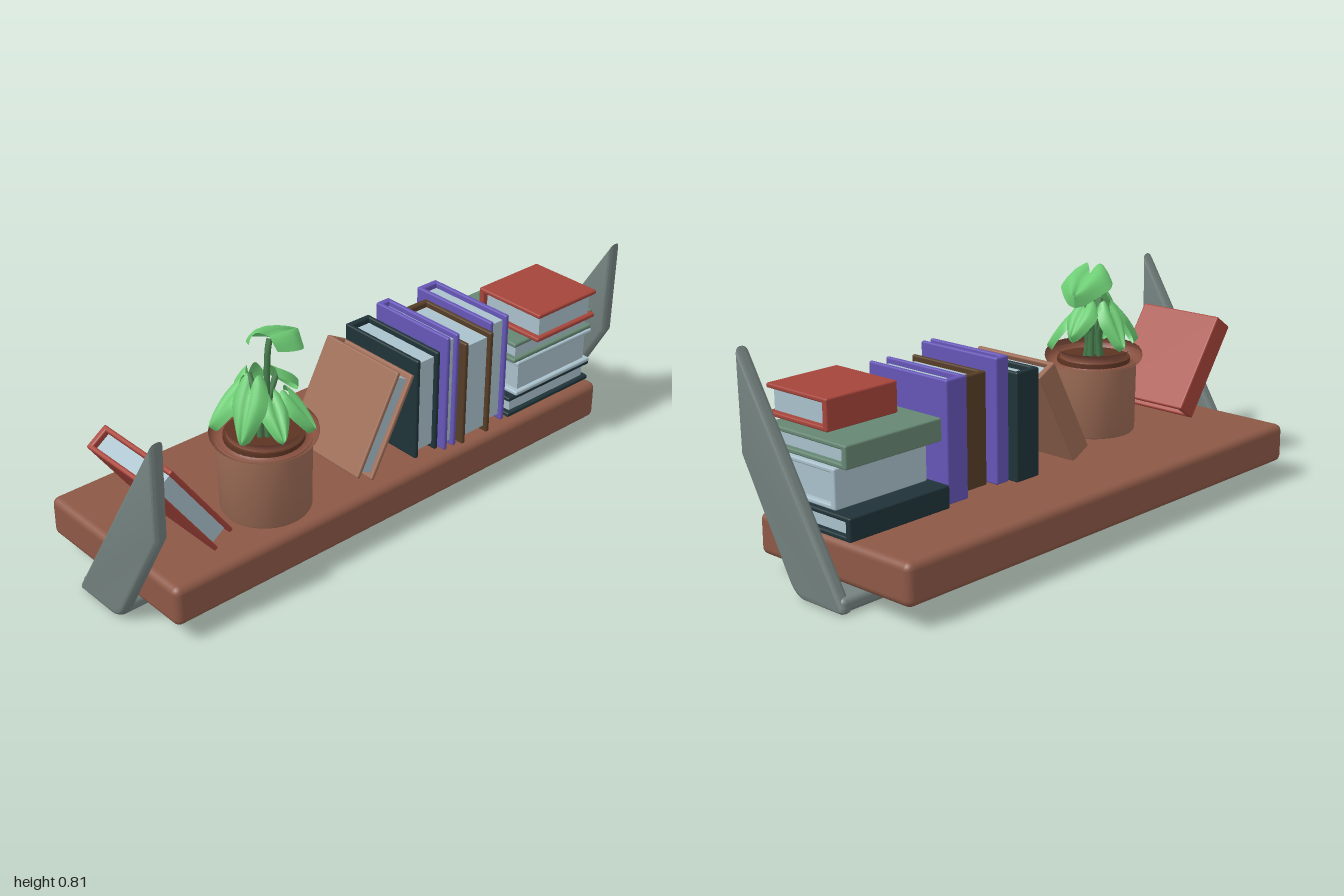
import * as THREE from 'three';
import { RoundedBoxGeometry } from 'three/addons/geometries/RoundedBoxGeometry.js';
import { toCreasedNormals } from 'three/addons/utils/BufferGeometryUtils.js';

const V = (x, y, z) => new THREE.Vector3(x, y, z);
const mat = (color, side = THREE.FrontSide) => new THREE.MeshStandardMaterial({ color, side });
const WOOD = mat(0x8c5846), METAL = mat(0x74827f), PAPER = mat(0xa9c0cb);
const RED = mat(0xa5443a), DARK = mat(0x1f3338), PURPLE = mat(0x6555b5), BROWN = mat(0x553d26);
const TAN = mat(0x9c6b55), GREEN = mat(0x668673), SOIL = mat(0x5d3423);
const LEAF = mat(0x6fcf76, THREE.DoubleSide), STEM = mat(0x447a4a);

function add(parent, name, geometry, material, x = 0, y = 0, z = 0) {
  const mesh = new THREE.Mesh(geometry, material);
  mesh.name = name;
  mesh.position.set(x, y, z);
  parent.add(mesh);
  return mesh;
}

// box given by its limits along each axis
function block(parent, name, [x0, x1], [y0, y1], [z0, z1], r, material) {
  return add(parent, name, new RoundedBoxGeometry(x1 - x0, y1 - y0, z1 - z0, 3, r), material,
    (x0 + x1) / 2, (y0 + y1) / 2, (z0 + z1) / 2);
}

// upright book, spine towards -z: thickness w, height h, depth d
function book(parent, name, material, w, h, d, x, y, z, tilt = 0) {
  const g = new THREE.Group();
  g.name = name;
  const t = 0.016;
  for (const s of [-1, 1]) {
    block(g, 'cover', [s * (w - t) / 2 - t / 2, s * (w - t) / 2 + t / 2], [-h / 2, h / 2], [-d / 2, d / 2], 0.006, material);
  }
  block(g, 'spine', [-w / 2 + 0.002, w / 2 - 0.002], [-h / 2, h / 2], [-d / 2, -d / 2 + 0.022], 0.006, material);
  add(g, 'pages', new THREE.BoxGeometry(w - 2 * t + 0.002, h - 0.04, d - 0.035), PAPER, 0, 0, 0.002);
  g.position.set(x, y, z);
  g.rotation.z = tilt;
  parent.add(g);
}

// slanted side plate with an inward foot
function bracket(parent, side) {
  const g = new THREE.Group();
  g.name = side > 0 ? 'leftBracket' : 'rightBracket';
  const s = new THREE.Shape();
  s.moveTo(0.33, 0.745);
  s.lineTo(0.33, 0.41);
  s.lineTo(0.125, 0.045);
  s.quadraticCurveTo(0.1, 0.004, 0.06, 0);
  s.lineTo(-0.1, 0);
  s.quadraticCurveTo(-0.123, 0.002, -0.112, 0.025);
  const b = 0.02;
  const geo = new THREE.ExtrudeGeometry(s, {
    depth: 0.01, bevelEnabled: true, bevelThickness: b, bevelSize: b, bevelOffset: -b, bevelSegments: 4, curveSegments: 6
  });
  geo.translate(0, 0, -0.005).rotateY(-Math.PI / 2);
  add(g, 'sidePlate', toCreasedNormals(geo, 0.7), METAL, side * 0.975);
  block(g, 'foot', side > 0 ? [0.675, 0.99] : [-0.99, -0.675], [0.003, 0.05], [-0.114, 0.1], 0.018, METAL);
  parent.add(g);
}

// heart-shaped leaf growing along +x from the stem joint, lobes swept back
function leafGeometry(length, width) {
  const nu = 14, nv = 12, pos = [], idx = [];
  for (let i = 0; i <= nu; i++) {
    const t = i / nu;
    const half = width / 2 * Math.sqrt(Math.max(0, 1 - t)) * Math.pow(Math.min(1, t * 2.2 + 0.12), 0.45)
      * (1 - 0.25 * t);
    for (let j = 0; j <= nv; j++) {
      const s = j / nv * 2 - 1, a = Math.abs(s);
      const back = 0.3 * length * Math.sin(a * Math.PI * 0.75) * (1 - t) ** 2;
      const y = width * (0.1 * Math.sin(a * Math.PI) - 0.1 * a * a) - 0.16 * length * t * t;
      pos.push(t * length - back, y, s * half);
    }
  }
  for (let i = 0; i < nu; i++) for (let j = 0; j < nv; j++) {
    const a = i * (nv + 1) + j, b = a + nv + 1;
    idx.push(a, a + 1, b, b, a + 1, b + 1);
  }
  const geo = new THREE.BufferGeometry();
  geo.setAttribute('position', new THREE.Float32BufferAttribute(pos, 3));
  geo.setIndex(idx);
  geo.computeVertexNormals();
  return geo;
}

function plant(parent) {
  const g = new THREE.Group();
  g.name = 'pottedPlant';
  g.position.set(-0.44, 0, 0.14);
  const wall = [[0, 0.205], [0.143, 0.205], [0.149, 0.215], [0.153, 0.46]].map(p => new THREE.Vector2(...p));
  add(g, 'pot', toCreasedNormals(new THREE.LatheGeometry(wall, 40), 0.6), TAN);
  const rim = new THREE.Shape();
  rim.absellipse(0.147, 0.482, 0.028, 0.029, 0, Math.PI * 2);
  add(g, 'potRim', new THREE.LatheGeometry(rim.getPoints(8).reverse(), 40), mat(0x87503f));
  add(g, 'soil', new THREE.CylinderGeometry(0.13, 0.13, 0.02, 32), SOIL, 0, 0.465);

  // direction (degrees from +x towards +z), droop, joint radius, joint height, length, width
  const leaves = [
    [-22, -0.22, 0.05, 0.785, 0.175, 0.26],
    [-12, -0.6, 0.07, 0.66, 0.13, 0.16],
    [55, -0.8, 0.085, 0.61, 0.13, 0.15],
    [105, -0.75, 0.07, 0.62, 0.13, 0.14],
    [155, -1.0, 0.085, 0.67, 0.17, 0.17],
    [205, -0.8, 0.08, 0.64, 0.15, 0.16],
    [275, -0.95, 0.08, 0.65, 0.14, 0.16]
  ];
  leaves.forEach(([deg, droop, r, y, length, width]) => {
    const a = deg * Math.PI / 180, c = Math.cos(a), s = Math.sin(a);
    const leaf = add(g, 'leaf', leafGeometry(length, width), LEAF, c * r, y, s * r);
    leaf.rotation.set(0, -a, droop, 'YZX');
    const path = new THREE.CatmullRomCurve3([
      V(c * 0.03, 0.46, s * 0.03), V(c * 0.025, 0.46 + (y - 0.46) * 0.55, s * 0.025),
      V(c * r * 0.75, y - 0.03, s * r * 0.75), V(c * r, y - 0.002, s * r)
    ]);
    add(g, 'stem', new THREE.TubeGeometry(path, 12, 0.01, 8), STEM);
  });
  parent.add(g);
}

export function createModel() {
  const model = new THREE.Group();
  model.name = 'bookShelf';

  block(model, 'shelfBoard', [-0.94, 0.94], [0.068, 0.208], [-0.346, 0.33], 0.025, WOOD);
  bracket(model, 1);
  bracket(model, -1);

  // standing books: material, x range, top, z range
  [
    [DARK, 0.095, 0.2, 0.58, -0.082, 0.27],
    [PURPLE, 0.205, 0.262, 0.635, -0.05, 0.295],
    [BROWN, 0.278, 0.41, 0.592, -0.02, 0.307],
    [PURPLE, 0.415, 0.505, 0.615, -0.07, 0.285]
  ].forEach(([m, x0, x1, top, z0, z1]) =>
    book(model, 'standingBook', m, x1 - x0, top - 0.208, z1 - z0, (x0 + x1) / 2, (top + 0.208) / 2, (z0 + z1) / 2));

  // stacked books: material, x range, y range, z range
  [
    [DARK, 0.52, 0.935, 0.208, 0.285, -0.093, 0.29],
    [PAPER, 0.545, 0.925, 0.288, 0.42, -0.018, 0.3],
    [GREEN, 0.525, 0.92, 0.424, 0.5, -0.067, 0.3],
    [RED, 0.585, 0.875, 0.503, 0.608, 0.065, 0.347]
  ].forEach(([m, x0, x1, y0, y1, z0, z1]) =>
    book(model, 'stackedBook', m, y1 - y0, x1 - x0, z1 - z0, (x0 + x1) / 2, (y0 + y1) / 2, (z0 + z1) / 2, Math.PI / 2));

  // leaning books
  book(model, 'leaningRedBook', RED, 0.088, 0.373, 0.345, -0.807, 0.4, 0.088, 0.61);
  book(model, 'leaningTanBook', TAN, 0.086, 0.372, 0.345, -0.044, 0.392, 0.102, -0.49);

  plant(model);
  return model;
}
